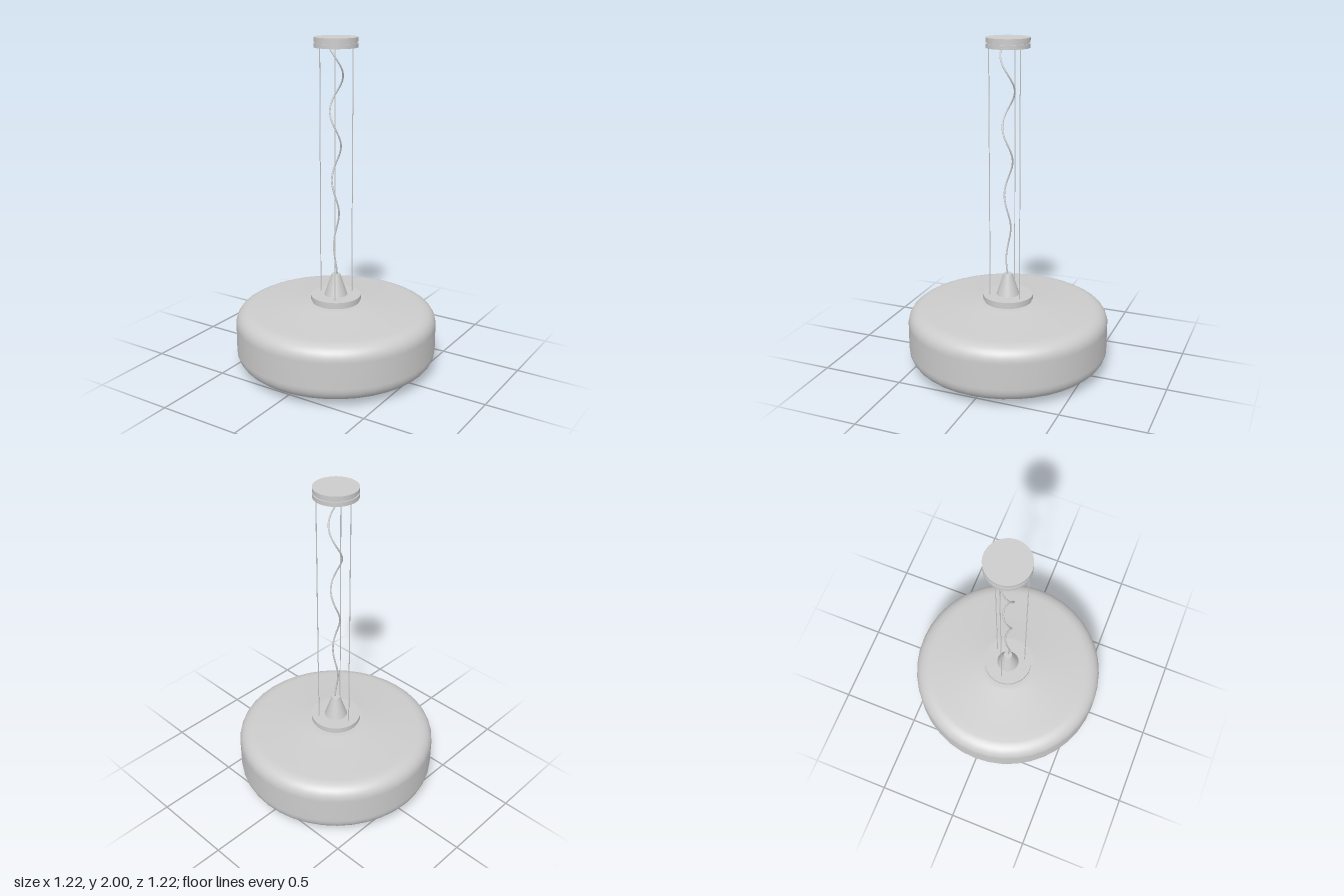
import * as THREE from 'three';

const material = new THREE.MeshStandardMaterial({ color: 0xcccccc, side: THREE.DoubleSide });

function addMesh(parent, name, geometry, y = 0) {
  const mesh = new THREE.Mesh(geometry, material);
  mesh.name = name;
  mesh.position.y = y;
  parent.add(mesh);
  return mesh;
}

// Disc standing on height y0
function addDisc(parent, name, radius, y0, y1, topRadius = radius) {
  return addMesh(parent, name, new THREE.CylinderGeometry(topRadius, radius, y1 - y0, 48), (y0 + y1) / 2);
}

// Drum shade: shallow domes joined to an upright wall by rounded edges
function shadeGeometry() {
  const path = new THREE.Path();
  path.moveTo(0, 0.005);
  path.quadraticCurveTo(0.3, 0.01, 0.51, 0.036);
  path.bezierCurveTo(0.575, 0.045, 0.61, 0.08, 0.61, 0.135);
  path.lineTo(0.61, 0.29);
  path.bezierCurveTo(0.61, 0.345, 0.575, 0.375, 0.52, 0.383);
  path.quadraticCurveTo(0.3, 0.4, 0.16, 0.42);
  path.lineTo(0, 0.42);
  return new THREE.LatheGeometry(path.getPoints(10), 40);
}

// Slack cord: a helix that tightens towards the lamp
function cordGeometry() {
  const points = [];
  const top = 1.945, bottom = 0.58;
  for (let i = 0; i <= 60; i++) {
    const y = top + (bottom - top) * i / 60;
    const angle = 2 * Math.PI * (1.92 - y) / 0.41;
    const radius = 0.008 + 0.037 * (y - bottom) / (top - bottom);
    points.push(new THREE.Vector3(radius * Math.sin(angle), y, radius * Math.cos(angle)));
  }
  return new THREE.TubeGeometry(new THREE.CatmullRomCurve3(points), 160, 0.005, 8);
}

export function createModel() {
  const lamp = new THREE.Group();
  lamp.name = 'pendantLamp';

  // Ceiling canopy with a groove around its middle
  const canopy = new THREE.Group();
  canopy.name = 'canopy';
  lamp.add(canopy);
  addDisc(canopy, 'canopyLower', 0.127, 1.942, 1.967);
  addDisc(canopy, 'canopyGroove', 0.12, 1.967, 1.975);
  addDisc(canopy, 'canopyUpper', 0.127, 1.975, 2);

  // Three suspension wires
  for (let i = 0; i < 3; i++) {
    const angle = Math.PI + i * 2 * Math.PI / 3;
    const wire = addMesh(lamp, 'suspensionWire', new THREE.CylinderGeometry(0.003, 0.003, 1.5, 8), 1.2);
    wire.position.x = 0.11 * Math.cos(angle);
    wire.position.z = 0.11 * Math.sin(angle);
  }

  addMesh(lamp, 'cord', cordGeometry());

  // Cap, neck and cord cone on the shade
  addDisc(lamp, 'cordCone', 0.07, 0.455, 0.588, 0.026);
  addDisc(lamp, 'cap', 0.152, 0.43, 0.456);
  addDisc(lamp, 'capNeck', 0.145, 0.41, 0.43);

  addMesh(lamp, 'shade', shadeGeometry());
  lamp.children.at(-1).position.y = -0.005;
  return lamp;
}
